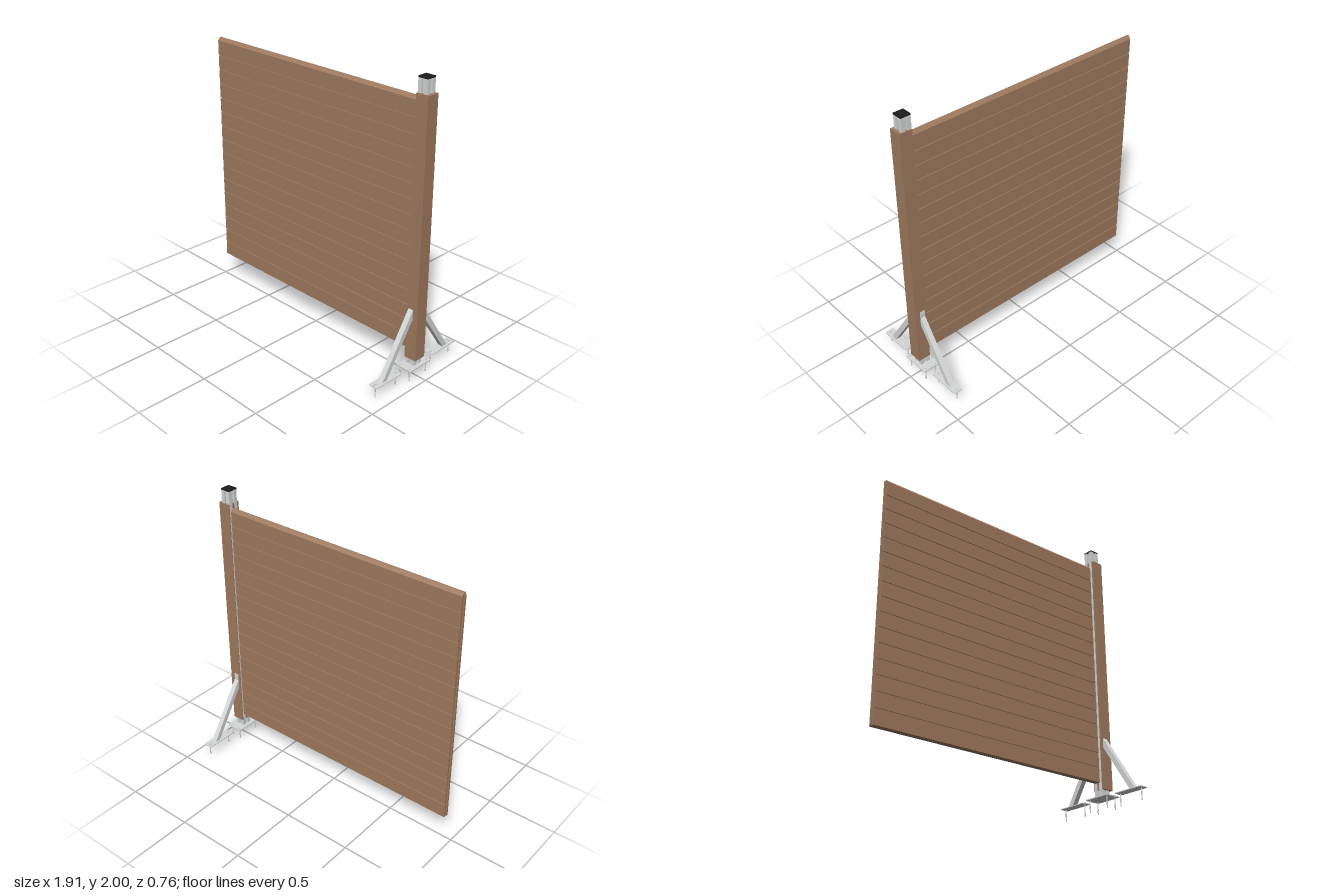
import * as THREE from 'three';

const wood = new THREE.MeshStandardMaterial({ name: 'brown wood', color: 0xa07b5f });
const metal = new THREE.MeshStandardMaterial({ name: 'light grey metal', color: 0xd6d8d8 });
const black = new THREE.MeshStandardMaterial({ name: 'black plastic', color: 0x1c1c1c });

const POST_X = 0.893;

function add(parent, name, geometry, material, x = 0, y = 0, z = 0) {
  const mesh = new THREE.Mesh(geometry, material);
  mesh.name = name;
  mesh.position.set(x, y, z);
  parent.add(mesh);
  return mesh;
}

// Box given by its lower and upper limits on each axis
function box(parent, name, material, [x0, x1], [y0, y1], [z0, z1]) {
  return add(parent, name, new THREE.BoxGeometry(x1 - x0, y1 - y0, z1 - z0), material,
    (x0 + x1) / 2, (y0 + y1) / 2, (z0 + z1) / 2);
}

// Extrudes a [z, y] outline along x
function extrudeAlongX(points, x0, x1) {
  const shape = new THREE.Shape(points.map(([z, y]) => new THREE.Vector2(-z, y)));
  return new THREE.ExtrudeGeometry(shape, { depth: x1 - x0, bevelEnabled: false })
    .rotateY(Math.PI / 2).translate(x0, 0, 0);
}

// Stacked tongue and groove boards: grooved faces and a ridged top
function boardOutline() {
  const count = 16, y0 = 0.19, y1 = 1.847, half = 0.022, depth = 0.006, gap = 0.004;
  const pitch = (y1 - y0) / count;
  const side = [[half, y0]];
  for (let i = 1; i < count; i++) {
    const y = y0 + i * pitch;
    side.push([half, y - gap], [half - depth, y - gap], [half - depth, y + gap], [half, y + gap]);
  }
  side.push([half, y1], [0.005, 1.868]);
  return [...side, ...side.map(([z, y]) => [-z, y]).reverse()];
}

// Square metal profile with a slot in each face
function slottedSquare(half, slot, depth) {
  const points = [];
  for (let i = 0; i < 4; i++) {
    const corner = [[half, -half], [half, -slot], [half - depth, -slot], [half - depth, slot], [half, slot]];
    for (const [x, y] of corner) {
      points.push(new THREE.Vector2(x, y).rotateAround(new THREE.Vector2(), i * Math.PI / 2));
    }
  }
  return new THREE.Shape(points);
}

// Ground anchor: rod, washer and head
function anchor(parent, x, z) {
  const group = new THREE.Group();
  group.name = 'groundAnchor';
  group.position.set(x, 0, z);
  add(group, 'anchorRod', new THREE.CylinderGeometry(0.004, 0.004, 0.09, 10), metal, 0, 0.045, 0);
  add(group, 'anchorWasher', new THREE.CylinderGeometry(0.011, 0.011, 0.003, 16), metal, 0, 0.0905, 0);
  add(group, 'anchorHead', new THREE.CylinderGeometry(0.007, 0.007, 0.005, 6), metal, 0, 0.0935, 0);
  parent.add(group);
}

// Foot plate with slots of anchors and a sloping strut, on the given side of the post
function brace(parent, side) {
  const group = new THREE.Group();
  group.name = side > 0 ? 'frontBrace' : 'backBrace';
  const zInner = side * 0.15, zOuter = side * 0.382;
  const w = 0.033, r = 0.01;
  const length = Math.abs(zOuter - zInner) / 2;
  const plate = new THREE.Shape();
  plate.moveTo(-w + r, -length);
  plate.lineTo(w - r, -length);
  plate.quadraticCurveTo(w, -length, w, -length + r);
  plate.lineTo(w, length - r);
  plate.quadraticCurveTo(w, length, w - r, length);
  plate.lineTo(-w + r, length);
  plate.quadraticCurveTo(-w, length, -w, length - r);
  plate.lineTo(-w, -length + r);
  plate.quadraticCurveTo(-w, -length, -w + r, -length);
  const plateGeometry = new THREE.ExtrudeGeometry(plate, { depth: 0.006, bevelEnabled: false, curveSegments: 4 })
    .rotateX(-Math.PI / 2);
  add(group, 'footPlate', plateGeometry, metal, POST_X, 0.083, (zInner + zOuter) / 2);

  const near = side > 0 ? 0.048 : 0.042;
  const outline = [[0.318, 0.087], [near, 0.505], [near, 0.437], [0.275, 0.087]];
  add(group, 'strut', extrudeAlongX(outline.map(([z, y]) => [side * z, y]), POST_X - 0.018, POST_X + 0.018), metal);

  for (const z of [0.17, 0.36]) anchor(group, POST_X, side * z);
  parent.add(group);
  return group;
}

export function createModel() {
  const model = new THREE.Group();
  model.name = 'fencePanelWithPost';

  // Panel with a narrow tongue on its free end
  const panel = new THREE.Group();
  panel.name = 'fencePanel';
  panel.position.z = -0.003;
  add(panel, 'boards', extrudeAlongX(boardOutline(), -0.948, 0.866), wood);
  box(panel, 'endTongue', wood, [-0.957, -0.947], [0.195, 1.858], [-0.007, 0.007]);
  model.add(panel);

  // Post: slotted core, wooden sleeve and cap
  const post = new THREE.Group();
  post.name = 'post';
  const core = new THREE.ExtrudeGeometry(slottedSquare(0.035, 0.009, 0.012), { depth: 1.903, bevelEnabled: false })
    .rotateX(-Math.PI / 2);
  add(post, 'postCore', core, metal, POST_X, 0.089, 0.001);
  box(post, 'postSleeve', wood, [0.859, 0.947], [0.14, 1.9], [-0.04, 0.05]);
  box(post, 'postCap', black, [POST_X - 0.0355, POST_X + 0.0355], [1.991, 2], [-0.0345, 0.0365]);
  model.add(post);

  // Base plate and its four anchors
  const base = new THREE.Group();
  base.name = 'postBase';
  box(base, 'basePlate', metal, [0.835, 0.955], [0.083, 0.091], [-0.1, 0.1]);
  for (const x of [0.856, 0.931]) for (const z of [-0.081, 0.081]) anchor(base, x, z);
  model.add(base);

  // Braces on both sides, the back one with a fixing tab and screw
  brace(model, 1);
  const back = brace(model, -1);
  box(back, 'fixingTab', metal, [POST_X - 0.018, POST_X + 0.018], [0.44, 0.55], [-0.044, -0.04]);
  add(back, 'fixingScrew', new THREE.CylinderGeometry(0.007, 0.007, 0.005, 12).rotateX(Math.PI / 2), metal,
    POST_X, 0.535, -0.0465);

  return model;
}
